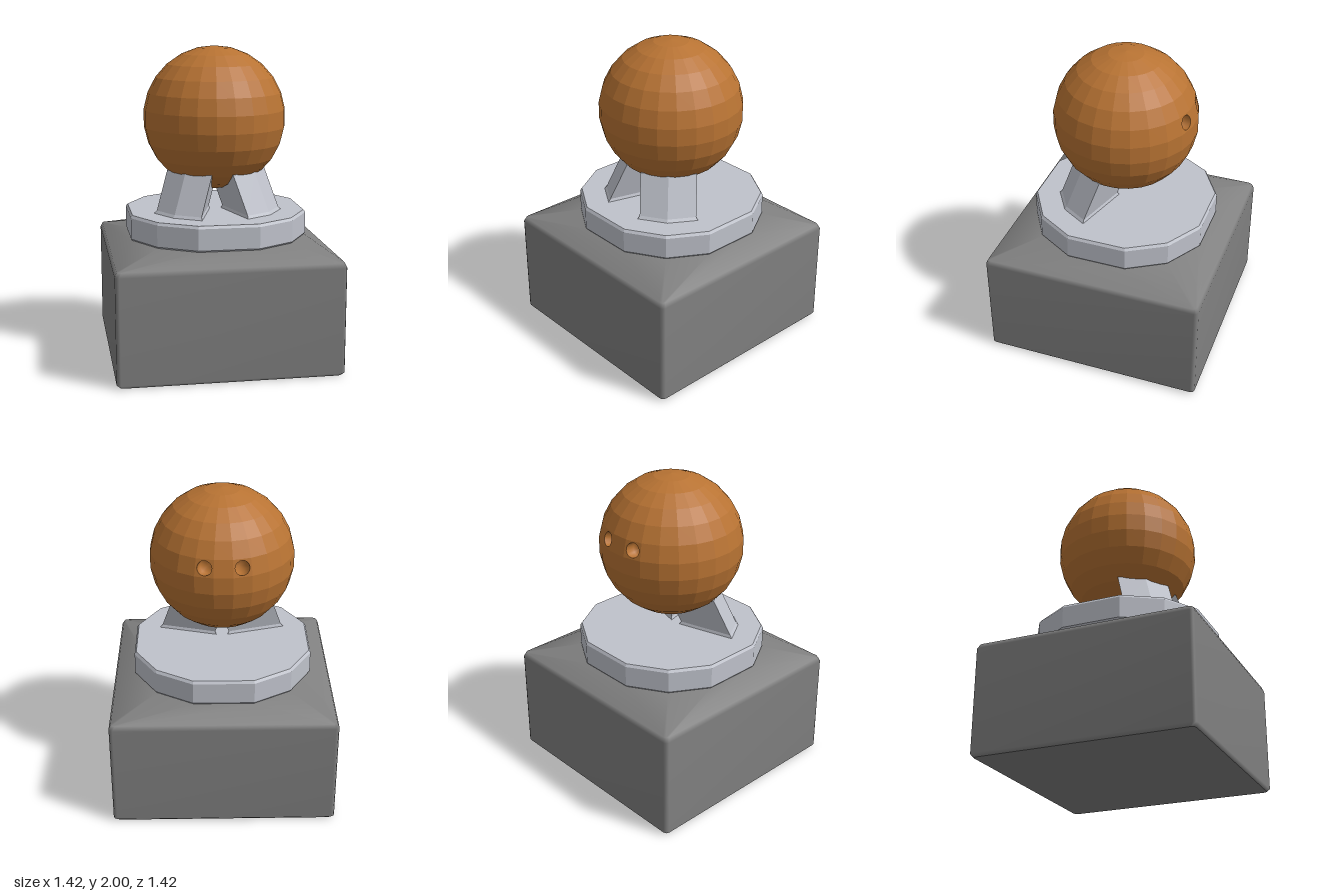
import * as THREE from 'three';
import { mergeVertices } from 'three/addons/utils/BufferGeometryUtils.js';

const material = (name, color) => {
  const m = new THREE.MeshStandardMaterial({ color });
  m.name = name;
  return m;
};

// Joins rings of [x, y, z] points (counterclockwise from above, low to high) and caps the ends.
function loft(rings, smooth = false) {
  const sides = [], caps = [];
  const n = rings[0].length;
  for (let r = 0; r < rings.length - 1; r++) {
    for (let i = 0; i < n; i++) {
      const j = (i + 1) % n, lo = rings[r], hi = rings[r + 1];
      sides.push(lo[i], lo[j], hi[j], lo[i], hi[j], hi[i]);
    }
  }
  const top = rings[rings.length - 1], bottom = rings[0];
  for (let i = 1; i < n - 1; i++) {
    caps.push(top[0], top[i], top[i + 1], bottom[0], bottom[i + 1], bottom[i]);
  }
  const make = (pts) => {
    const g = new THREE.BufferGeometry();
    g.setAttribute('position', new THREE.Float32BufferAttribute(pts.flat(), 3));
    return g;
  };
  const side = smooth ? mergeVertices(make(sides)) : make(sides);
  const cap = make(caps);
  side.computeVertexNormals();
  cap.computeVertexNormals();
  const flatSide = side.index ? side.toNonIndexed() : side;
  const out = new THREE.BufferGeometry();
  for (const key of ['position', 'normal']) {
    const data = [...flatSide.attributes[key].array, ...cap.attributes[key].array];
    out.setAttribute(key, new THREE.Float32BufferAttribute(data, 3));
  }
  return out;
}

// Three points for one corner, repeated in all four quadrants.
function fourCorners(corner, y) {
  const ring = [];
  for (let q = 0; q < 4; q++) {
    for (let [x, z] of corner) {
      for (let k = 0; k < q; k++) [x, z] = [z, -x];
      ring.push([x, y, z]);
    }
  }
  return ring;
}
const twelveGon = (k, y) =>
  fourCorners([[0.19 * k, 0.565 * k], [0.425 * k, 0.425 * k], [0.565 * k, 0.19 * k]], y);
const square = (s, y, c = 0.025) =>
  fourCorners([[s - c, s], [s - 0.3 * c, s - 0.3 * c], [s, s - c]], y);

export function createModel() {
  const model = new THREE.Group();
  const stone = material('dark grey', 0x808080);
  const metal = material('light grey', 0xbfc2cb);
  const copper = material('orange brown', 0xb87333);

  const add = (name, geometry, mat, parent = model) => {
    const mesh = new THREE.Mesh(geometry, mat);
    mesh.name = name;
    parent.add(mesh);
    return mesh;
  };

  // Square plinth with softened edges, its top sloping up to the plate
  add('plinth', loft([
    square(0.69, 0), square(0.708, 0.02), square(0.708, 0.69),
    square(0.695, 0.72), twelveGon(0.99, 0.79),
  ], true), stone);

  // Twelve-sided plate with bevelled rims
  add('plate', loft([
    twelveGon(0.98, 0.785), twelveGon(1, 0.8), twelveGon(1, 0.935), twelveGon(0.98, 0.952),
  ]), metal);

  // Two wedge-shaped supports leaning in under the ball, with a small flared foot
  const wedge = [[0.05, 0.05], [0.15, 0.4], [0.305, 0.305], [0.4, 0.15]];
  const section = (shift, k, y) =>
    wedge.map(([x, z]) => [0.22 + (x - 0.22) * k - shift, y, 0.22 + (z - 0.22) * k - shift]);
  const wedgeGeometry = loft([section(0, 1.1, 0.945), section(0.005, 1, 0.97), section(0.083, 1, 1.215)]);
  add('leftSupport', wedgeGeometry, metal);
  add('rightSupport', wedgeGeometry, metal).rotation.y = -Math.PI / 2;

  // Faceted ball
  const R = 0.458, columns = 24, rows = 13;
  const ball = new THREE.Group();
  ball.name = 'ball';
  ball.position.y = 1.542;
  model.add(ball);

  const onBall = (turn, lift) => new THREE.Vector3(
    R * Math.cos(lift) * Math.sin(turn), R * Math.sin(lift), -R * Math.cos(lift) * Math.cos(turn));
  const dTurn = Math.PI / columns, dLift = Math.PI / rows / 2, holeLift = Math.PI / rows;
  const facets = [-1, 1].map((side) => {
    const turn = side * 2 * dTurn;
    const corners = [[-1, -1], [1, -1], [1, 1], [-1, 1]].map(
      ([a, b]) => onBall(turn + a * dTurn, holeLift + b * dLift));
    const centre = corners.reduce((s, p) => s.add(p), new THREE.Vector3()).multiplyScalar(0.25);
    const normal = corners[2].clone().sub(corners[0]).cross(corners[3].clone().sub(corners[1])).normalize();
    if (normal.dot(centre) < 0) normal.negate();
    return { corners, centre, normal };
  });

  // Leave out the two facets that carry the holes
  const sphere = new THREE.SphereGeometry(R, columns, rows).rotateY(dTurn).toNonIndexed();
  const pos = sphere.attributes.position, kept = [];
  for (let i = 0; i < pos.count; i += 3) {
    const tri = [0, 1, 2].map((k) => new THREE.Vector3().fromBufferAttribute(pos, i + k));
    const mid = tri[0].clone().add(tri[1]).add(tri[2]).divideScalar(3);
    if (facets.every((f) => f.centre.distanceTo(mid) > 0.045)) {
      tri.forEach((p) => kept.push(p.x, p.y, p.z));
    }
  }
  const shell = new THREE.BufferGeometry();
  shell.setAttribute('position', new THREE.Float32BufferAttribute(kept, 3));
  shell.computeVertexNormals();
  add('ballShell', shell, copper, ball);

  // Two round holes in the back of the ball, each a pierced facet with a cup behind it
  for (const { corners, centre, normal } of facets) {
    const hole = new THREE.Group();
    hole.name = 'fingerHole';
    hole.position.copy(centre);
    hole.quaternion.setFromUnitVectors(new THREE.Vector3(0, 0, 1), normal);
    ball.add(hole);
    const undo = hole.quaternion.clone().invert();
    const flat = corners.map((p) => p.clone().sub(centre).applyQuaternion(undo));
    const shape = new THREE.Shape(flat.map((p) => new THREE.Vector2(p.x, p.y)));
    shape.holes.push(new THREE.Path().absarc(0, 0, 0.046, 0, Math.PI * 2));
    add('holeRim', new THREE.ShapeGeometry(shape, 8), copper, hole);
    const profile = [[0.046, 0], [0.046, -0.08], [0, -0.08]].map((p) => new THREE.Vector2(...p));
    add('holeCup', new THREE.LatheGeometry(profile, 16).rotateX(Math.PI / 2), copper, hole);
  }

  return model;
}
